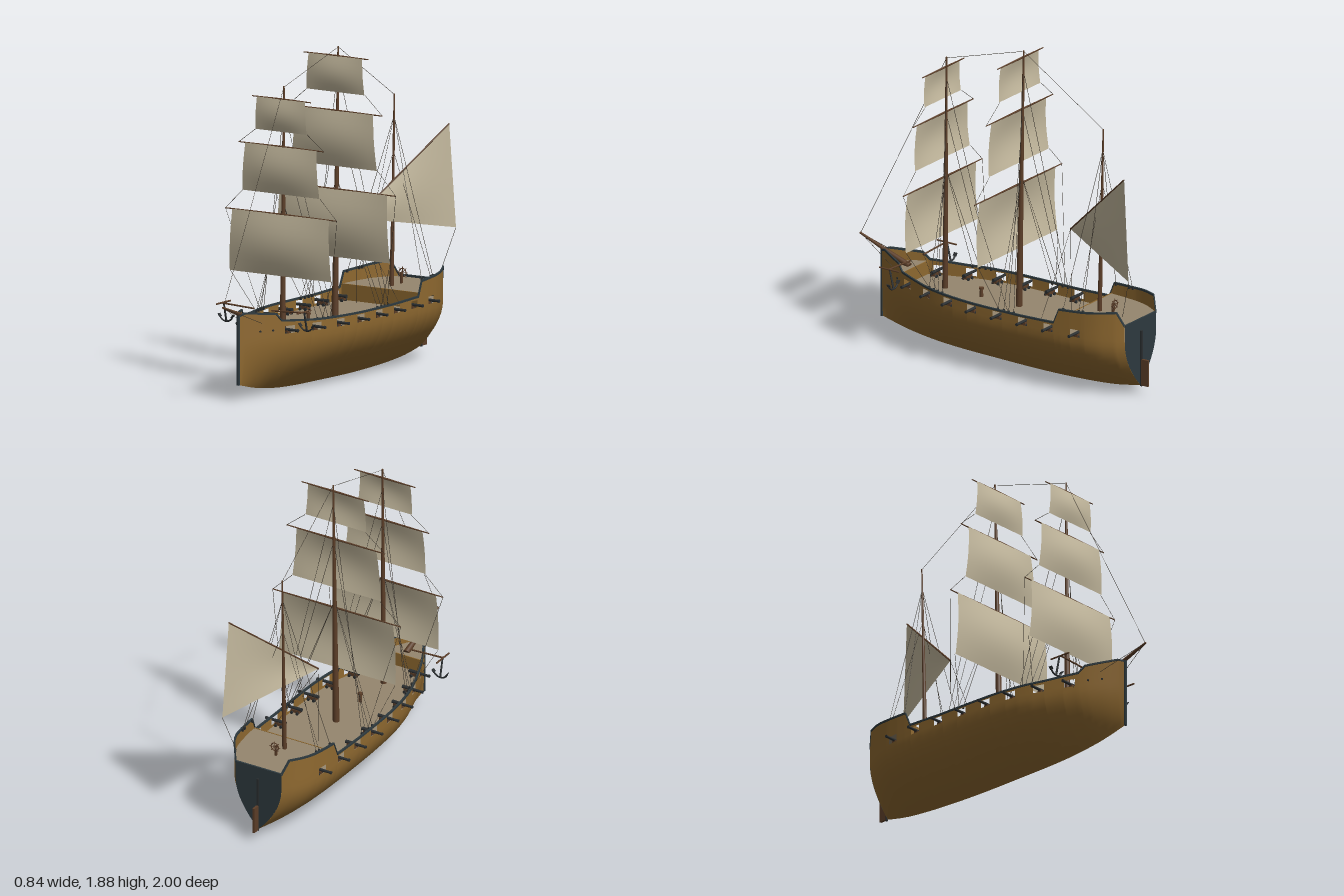
import * as THREE from 'three';
import { toCreasedNormals } from 'three/addons/utils/BufferGeometryUtils.js';

const mat = (name, color) => new THREE.MeshStandardMaterial({ name, color, side: THREE.DoubleSide });
const M = {
  hull: mat('hullPlanks', 0x8f6930), deck: mat('deckPlanks', 0x95866e), spar: mat('sparWood', 0x5c3e28),
  sail: mat('sailCloth', 0xc4b99e), trim: mat('slateTrim', 0x2e3a3f), rope: mat('tarredRope', 0x3a342c),
  iron: mat('iron', 0x2a2e30),
};

// hull lines as [z, value]
const WIDTH = [[-0.935, 0.15], [-0.9, 0.18], [-0.8, 0.232], [-0.7, 0.254], [-0.55, 0.268], [-0.3, 0.272], [0, 0.272],
  [0.15, 0.263], [0.3, 0.24], [0.45, 0.194], [0.6, 0.137], [0.7, 0.087], [0.8, 0.029], [0.845, 0.004]];
const KEEL = [[-0.935, 0.055], [-0.8, 0.028], [-0.6, 0.01], [-0.3, 0.001], [0, 0.004], [0.4, 0.016], [0.65, 0.045], [0.845, 0.09]];
const SHEER = [[-0.935, 0.445], [-0.9, 0.528], [-0.72, 0.512], [-0.565, 0.504], [-0.53, 0.42], [-0.3, 0.413], [0, 0.414],
  [0.4, 0.42], [0.61, 0.436], [0.645, 0.476], [0.81, 0.495], [0.845, 0.482]];
const PORTS = Array.from({ length: 8 }, (_, i) => 0.56 - i * 0.1755);
const PORT_HALF = 0.031, PORT_LOW = 0.36, PORT_HIGH = 0.403;

function lookup(t, z, smooth = true) {
  let i = 0;
  while (i < t.length - 2 && z > t[i + 1][0]) i++;
  const slope = (a, b) => (t[b][1] - t[a][1]) / (t[b][0] - t[a][0]);
  const h = t[i + 1][0] - t[i][0], u = THREE.MathUtils.clamp((z - t[i][0]) / h, 0, 1);
  const a = t[i][1], b = t[i + 1][1];
  if (!smooth) return a + (b - a) * u;
  const m0 = slope(Math.max(i - 1, 0), i + 1) * h, m1 = slope(i, Math.min(i + 2, t.length - 1)) * h;
  const u2 = u * u, u3 = u2 * u;
  return (2 * u3 - 3 * u2 + 1) * a + (u3 - 2 * u2 + u) * m0 + (3 * u2 - 2 * u3) * b + (u3 - u2) * m1;
}
const sheer = z => lookup(SHEER, z, false);
function halfWidth(z, y) {
  const k = lookup(KEEL, z), u = THREE.MathUtils.clamp((y - k) / (0.345 - k), 0, 1);
  return lookup(WIDTH, z) * Math.sin(Math.PI / 2 * Math.pow(u, 0.92));
}

// surface from a point rule over an nu x nv grid
function grid(point, nu, nv, skip = () => false) {
  const pos = [], idx = [], w = nv + 1;
  for (let i = 0; i <= nu; i++) for (let j = 0; j <= nv; j++) pos.push(...point(i, j));
  for (let i = 0; i < nu; i++) for (let j = 0; j < nv; j++) {
    if (skip(i, j)) continue;
    const a = i * w + j;
    idx.push(a, a + w, a + 1, a + 1, a + w, a + w + 1);
  }
  const g = new THREE.BufferGeometry();
  g.setAttribute('position', new THREE.Float32BufferAttribute(pos, 3));
  g.setIndex(idx);
  g.computeVertexNormals();
  return g;
}
function add(parent, name, geo, material, p = [0, 0, 0]) {
  const m = new THREE.Mesh(geo, material);
  m.name = name;
  m.position.set(...p);
  parent.add(m);
  return m;
}
const box = (parent, name, size, p, material) => add(parent, name, new THREE.BoxGeometry(...size), material, p);
function rod(parent, name, a, b, r0, r1, material, sides = 10) {
  const A = new THREE.Vector3(...a), d = new THREE.Vector3(...b).sub(A);
  const m = add(parent, name, new THREE.CylinderGeometry(r1, r0, d.length(), sides), material);
  m.position.copy(A).addScaledVector(d, 0.5);
  m.quaternion.setFromUnitVectors(new THREE.Vector3(0, 1, 0), d.normalize());
  return m;
}
const rope = (parent, a, b) => rod(parent, 'rope', a, b, 0.0013, 0.0013, M.rope, 4);
function group(parent, name) {
  const g = new THREE.Group();
  g.name = name;
  parent.add(g);
  return g;
}

function buildHull(ship) {
  const hull = group(ship, 'hull');
  let zs = SHEER.map(k => k[0]);
  for (let z = -0.88; z < 0.84; z += 0.05) zs.push(z);
  zs = zs.filter(z => !PORTS.some(p => Math.abs(z - p) < PORT_HALF + 0.004));
  PORTS.forEach(p => zs.push(p - PORT_HALF, p + PORT_HALF));
  zs.sort((a, b) => a - b);
  const n = zs.length - 1, low = 10;
  const rowY = (z, j) => {
    const k = lookup(KEEL, z);
    return j <= low ? k + (PORT_LOW - k) * j / low : j === low + 1 ? PORT_HIGH : sheer(z);
  };
  const isPort = (i, j) => j === low && PORTS.some(p => Math.abs((zs[i] + zs[i + 1]) / 2 - p) < PORT_HALF);
  for (const s of [1, -1]) {
    const at = i => zs[s > 0 ? i : n - i];
    add(hull, 'hullSide', grid((i, j) => {
      const z = at(i), y = rowY(z, j);
      return [s * halfWidth(z, y), y, z];
    }, n, low + 2, (i, j) => isPort(s > 0 ? i : n - 1 - i, j)), M.hull);
    // rail capping along the sheer
    const ring = [[-0.006, -0.005], [0.005, -0.005], [0.005, 0.006], [-0.006, 0.006], [-0.006, -0.005]];
    add(hull, 'rail', toCreasedNormals(grid((i, j) => {
      const z = at(i);
      return [s * (halfWidth(z, 0.4) + ring[j][0]), sheer(z) + ring[j][1], z];
    }, n, 4), 0.6), M.trim);
    // hawse holes
    for (const z of [0.66, 0.73]) {
      const x = halfWidth(z, 0.385);
      rod(hull, 'hawseHole', [s * (x - 0.004), 0.385, z], [s * (x + 0.004), 0.385, z + 0.002], 0.006, 0.006, M.iron, 8);
    }
  }
  add(hull, 'transom', grid((i, j) => {
    const y = 0.055 + 0.39 * i / 14;
    return [(1 - 2 * j) * halfWidth(-0.935, y), y, -0.936];
  }, 14, 1), M.trim);
  box(hull, 'sternRail', [0.3, 0.011, 0.011], [0, 0.446, -0.935], M.trim);
  box(hull, 'stem', [0.014, 0.4, 0.012], [0, 0.288, 0.845], M.trim);
  box(hull, 'sternPost', [0.012, 0.33, 0.01], [0, 0.215, -0.943], M.iron);
  box(hull, 'rudder', [0.014, 0.155, 0.045], [0, 0.133, -0.969], M.spar);

  // decks and the bulkheads that step between them
  const deck = (name, z0, z1, y) => add(hull, name, grid((i, j) => {
    const z = z0 + (z1 - z0) * i / 24;
    return [(2 * j - 1) * halfWidth(z, y) * 0.99, y, z];
  }, 24, 1), M.deck);
  deck('mainDeck', -0.93, 0.82, 0.348);
  deck('quarterDeck', -0.934, -0.545, 0.438);
  deck('foreDeck', 0.62, 0.835, 0.425);
  for (const [z, top] of [[-0.545, 0.44], [0.62, 0.427]])
    box(hull, 'bulkhead', [halfWidth(z, 0.4) * 1.97, top - 0.348, 0.006], [0, (top + 0.348) / 2, z], M.hull);
}

function buildCannons(ship) {
  for (const s of [1, -1]) PORTS.forEach(z => {
    const c = group(ship, 'cannon'), x = halfWidth(z, 0.38) - 0.035;
    c.position.set(s * x, 0.348, z);
    box(c, 'carriage', [0.056, 0.018, 0.026], [0, 0.017, 0], M.spar);
    for (const wx of [-0.018, 0.018]) for (const wz of [-0.018, 0.018])
      rod(c, 'wheel', [wx, 0.009, wz - 0.004], [wx, 0.009, wz + 0.004], 0.009, 0.009, M.iron);
    rod(c, 'barrel', [-s * 0.04, 0.031, 0], [s * 0.092, 0.031, 0], 0.0105, 0.007, M.iron);
    rod(c, 'muzzle', [s * 0.084, 0.031, 0], [s * 0.093, 0.031, 0], 0.009, 0.009, M.iron);
  });
}

function buildSquareMast(ship, name, base, tip, radius, sails) {
  const g = group(ship, name);
  const zAt = y => base[1] + (tip[1] - base[1]) * (y - base[0]) / (tip[0] - base[0]);
  rod(g, 'mast', [0, base[0], base[1]], [0, tip[0], tip[1]], radius, 0.005, M.spar, 12);
  // sails: [yard height, yard half length, top half width, foot height, foot half width]
  sails.forEach(([y, yard, top, foot, clew], k) => {
    const z = zAt(y) + 0.022;
    rod(g, 'yardArm', [-yard, y, z], [0, y, z], 0.003, 0.006, M.spar, 8);
    rod(g, 'yardArm', [0, y, z], [yard, y, z], 0.006, 0.003, M.spar, 8);
    add(g, 'sail', grid((i, j) => {
      const u = j / 6 - 1, v = i / 10;
      const belly = 0.09 * (y - foot) * Math.sin(Math.PI * v) * (0.35 + 0.65 * Math.cos(u * Math.PI / 2));
      return [u * (top + (clew - top) * v), y + (foot - y) * v, z + 0.005 + belly];
    }, 10, 12), M.sail);
    for (const s of [1, -1]) {
      const below = sails[k - 1], rz = base[1] - 0.06;
      // sheets to the yard below or to the rail, and braces aft
      rope(g, [s * clew, foot, z], below ? [s * below[1], below[0], zAt(below[0]) + 0.022]
        : [s * halfWidth(rz, 0.4), sheer(rz), rz]);
      if (!below) rope(g, [s * yard, y, z], [s * halfWidth(base[1] - 0.12, 0.4), sheer(base[1] - 0.12), base[1] - 0.12]);
    }
  });
  shrouds(g, zAt, [[tip[0] - 0.12, -0.15], [sails[1][0], -0.115], [sails[0][0] + 0.06, -0.08], [sails[0][0] + 0.06, -0.04]], base[1]);
}

function shrouds(g, zAt, list, z0) {
  for (const s of [1, -1]) for (const [y, dz] of list) {
    const z = z0 + dz, x = halfWidth(z, 0.4) - 0.012;
    rope(g, [0, y, zAt(y)], [s * x, sheer(z), z]);
    box(g, 'deadeye', [0.01, 0.016, 0.01], [s * x, sheer(z), z], M.iron);
  }
}

function buildMizzen(ship) {
  const g = group(ship, 'mizzenMast');
  rod(g, 'mast', [0, 0.43, -0.655], [0, 1.525, -0.68], 0.013, 0.004, M.spar, 12);
  const tack = [-0.07, 0.85, -0.405], peak = [0.183, 1.335, -0.955], clew = [0.2, 0.74, -0.997];
  rod(g, 'lateenYard', tack, peak, 0.005, 0.004, M.spar, 8);
  add(g, 'lateenSail', grid((i, j) => {
    const u = i / 10, v = j / 10;
    const p = [0, 1, 2].map(k => tack[k] + u * ((1 - v) * (peak[k] - tack[k]) + v * (clew[k] - tack[k])));
    p[0] += 0.015 * Math.sin(Math.PI * u) * Math.sin(Math.PI * v);
    return p;
  }, 10, 10), M.sail);
  rope(g, clew, [0.15, 0.5, -0.92]);
  rope(g, tack, [-0.07, 0.35, -0.41]);
  rope(g, tack, [0.22, 0.4, -0.41]);
  shrouds(g, y => -0.655 - 0.0228 * (y - 0.43), [[1.4, -0.055], [1.2, -0.03], [1.4, 0.07]], -0.655);
}

function buildFittings(ship) {
  rod(ship, 'bowsprit', [0, 0.425, 0.655], [0, 0.552, 0.997], 0.018, 0.006, M.spar, 12);
  // stays
  const bow = [0, 0.552, 0.992], fore = [0, 1.72, 0.4], main = [0, 1.872, -0.132], mizzen = [0, 1.522, -0.68];
  rope(ship, bow, fore);
  rope(ship, fore, main);
  rope(ship, main, mizzen);
  for (const s of [1, -1]) {
    rope(ship, bow, [s * halfWidth(0.72, 0.43), 0.43, 0.72]);
    // anchor hung from its beam
    const a = group(ship, 'anchor'), x = s * 0.275;
    rod(a, 'catHead', [s * 0.06, 0.485, 0.605], [x, 0.495, 0.605], 0.005, 0.005, M.spar, 8);
    rod(a, 'stock', [x, 0.497, 0.53], [x, 0.497, 0.665], 0.005, 0.005, M.spar, 8);
    rod(a, 'shank', [x, 0.5, 0.595], [x, 0.385, 0.568], 0.005, 0.006, M.iron, 8);
    const arms = add(a, 'arms', new THREE.TorusGeometry(0.048, 0.005, 6, 14, 2.4), M.iron, [x, 0.434, 0.57]);
    arms.rotation.z = Math.PI * 1.5 - 1.2;
    for (const t of [1, -1]) {
      const f = box(a, 'fluke', [0.02, 0.005, 0.022], [x + t * 0.044, 0.418, 0.57], M.iron);
      f.rotation.z = t * 0.9;
    }
  }
  // capstan
  rod(ship, 'capstan', [0, 0.348, 0.16], [0, 0.395, 0.16], 0.011, 0.009, M.spar, 12);
  rod(ship, 'capstanHead', [0, 0.393, 0.16], [0, 0.403, 0.16], 0.015, 0.015, M.spar, 12);
  // steering wheel
  const w = group(ship, 'steeringWheel');
  w.position.set(0, 0.497, -0.76);
  add(w, 'wheelRim', new THREE.TorusGeometry(0.024, 0.003, 6, 24), M.spar);
  for (let i = 0; i < 4; i++) {
    const c = 0.035 * Math.cos(i * Math.PI / 4), s = 0.035 * Math.sin(i * Math.PI / 4);
    rod(w, 'spoke', [-c, -s, 0], [c, s, 0], 0.0018, 0.0018, M.spar, 6);
  }
  box(w, 'wheelStand', [0.012, 0.062, 0.012], [0, -0.029, 0.012], M.spar);
}

export function createModel() {
  const ship = new THREE.Group();
  ship.name = 'sailingShip';
  buildHull(ship);
  buildCannons(ship);
  buildSquareMast(ship, 'foreMast', [0.348, 0.41], [1.725, 0.4], 0.017,
    [[1.0, 0.38, 0.33, 0.65, 0.347], [1.385, 0.29, 0.243, 1.115, 0.263], [1.655, 0.2, 0.165, 1.47, 0.175]]);
  buildSquareMast(ship, 'mainMast', [0.348, -0.1], [1.877, -0.132], 0.019,
    [[1.07, 0.42, 0.365, 0.685, 0.383], [1.515, 0.322, 0.262, 1.2, 0.288], [1.825, 0.22, 0.183, 1.62, 0.198]]);
  buildMizzen(ship);
  buildFittings(ship);
  return ship;
}
